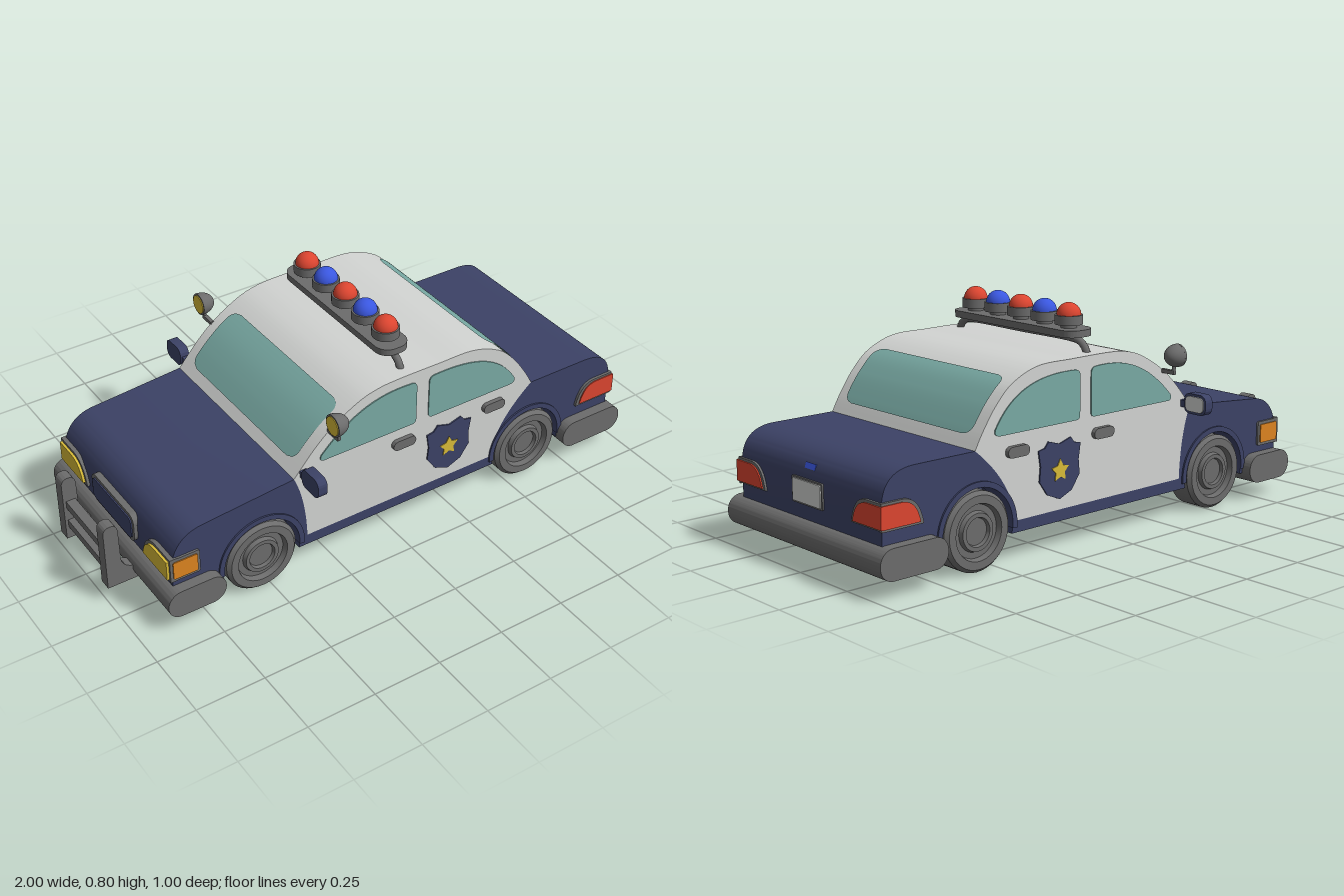
import * as THREE from 'three';
import { toCreasedNormals } from 'three/addons/utils/BufferGeometryUtils.js';

const mat = (name, color, extra = {}) => {
  const m = new THREE.MeshStandardMaterial({ color, ...extra });
  m.name = name;
  return m;
};

export function createModel() {
  const car = new THREE.Group();
  car.name = 'patrolCar';
  const navy = mat('navy', 0x3c4266), white = mat('white', 0xd2d4d2), grey = mat('grey', 0x6c6c6c);
  const glass = mat('glass', 0x79aaa4, { side: THREE.DoubleSide });
  const red = mat('red', 0xdc4530), blue = mat('blue', 0x3a57e0);
  const orange = mat('orange', 0xdd8420), yellow = mat('yellow', 0xd8bb38);

  const add = (name, geo, m, x = 0, y = 0, z = 0) => {
    const mesh = new THREE.Mesh(geo, m);
    mesh.name = name;
    mesh.position.set(x, y, z);
    car.add(mesh);
    return mesh;
  };
  // side-on shape (x, y) pulled from z0 to z1
  const across = (shape, z0, z1) => toCreasedNormals(
    new THREE.ExtrudeGeometry(shape, { depth: z1 - z0, bevelEnabled: false, curveSegments: 20 }).translate(0, 0, z0), 0.6);
  // end-on shape (-z, y) pulled from x0 to x1
  const along = (shape, x0, x1) => across(shape, x0, x1).rotateY(Math.PI / 2);
  const onSides = (name, shape, m, z0, z1) => {
    add(name, across(shape, z0, z1), m);
    add(name, across(shape, -z1, -z0), m);
  };
  const box = (w, h, d) => new THREE.BoxGeometry(w, h, d);
  const roundRect = (cx, cy, w, h, r) => {
    const s = new THREE.Shape(), H = Math.PI / 2, x = w / 2 - r, y = h / 2 - r;
    s.absarc(cx + x, cy + y, r, 0, H);
    s.absarc(cx - x, cy + y, r, H, 2 * H);
    s.absarc(cx - x, cy - y, r, 2 * H, 3 * H);
    s.absarc(cx + x, cy - y, r, 3 * H, 4 * H);
    return s;
  };
  const poly = pts => new THREE.Shape(pts.map(p => new THREE.Vector2(p[0], p[1])));

  // Roof line, shared by the cabin and the two screens
  const roof = new THREE.SplineCurve([[-0.4, 0.4], [-0.32, 0.49], [-0.245, 0.555], [-0.15, 0.61], [-0.075, 0.633],
    [0.01, 0.64], [0.17, 0.64], [0.32, 0.637], [0.43, 0.597], [0.5, 0.535], [0.555, 0.46], [0.59, 0.4]]
    .map(p => new THREE.Vector2(...p))).getPoints(160);
  const W = 0.38, axles = [-0.53, 0.583], axleY = 0.135;

  // Navy lower body with wheel openings
  const body = new THREE.Shape();
  body.moveTo(-0.85, 0.1);
  for (const x of axles) {
    const a = Math.asin(0.035 / 0.15);
    body.lineTo(x - 0.15 * Math.cos(a), 0.1);
    body.absarc(x, axleY, 0.15, Math.PI + a, -a, true);
  }
  body.lineTo(0.96, 0.1);
  body.lineTo(0.96, 0.29);
  body.quadraticCurveTo(0.955, 0.4, 0.83, 0.4);
  body.lineTo(0.59, 0.4);
  body.quadraticCurveTo(0.44, 0.28, 0.42, 0.14);
  body.lineTo(-0.35, 0.14);
  body.quadraticCurveTo(-0.355, 0.3, -0.4, 0.4);
  body.lineTo(-0.75, 0.37);
  body.quadraticCurveTo(-0.845, 0.36, -0.865, 0.26);
  body.lineTo(-0.865, 0.13);
  add('lowerBody', across(body, -W, W), navy);

  // White cabin and doors
  const cabin = new THREE.Shape();
  cabin.moveTo(0.59, 0.4);
  cabin.quadraticCurveTo(0.44, 0.28, 0.42, 0.14);
  cabin.lineTo(-0.35, 0.14);
  cabin.quadraticCurveTo(-0.355, 0.3, -0.4, 0.4);
  roof.slice(1, -1).forEach(p => cabin.lineTo(p.x, p.y));
  add('cabin', across(cabin, -W, W), white);

  // Wheels, arches and the floor between the wheels
  const tyre = [[0, -0.055], [0.122, -0.055], [0.134, -0.042], [0.134, 0.042], [0.122, 0.055], [0.095, 0.055],
    [0.089, 0.035], [0.068, 0.035], [0.063, 0.05], [0.049, 0.05], [0.045, 0.038], [0, 0.038]].map(p => new THREE.Vector2(...p));
  for (const x of axles) {
    add('wheelWell', box(0.32, 0.19, 0.55), navy, x, 0.196, 0);
    const arch = new THREE.Shape();
    arch.absarc(x, axleY, 0.165, -0.1, Math.PI + 0.1);
    arch.absarc(x, axleY, 0.146, Math.PI + 0.1, -0.1, true);
    onSides('wheelArch', arch, navy, 0.3, 0.386);
    for (const s of [1, -1]) {
      const g = toCreasedNormals(new THREE.LatheGeometry(tyre, 40), 0.5).rotateX(s * Math.PI / 2);
      add('wheel', g, grey, x, axleY, s * 0.334);
    }
  }

  // Bumpers and push bar
  add('frontBumper', across(roundRect(-0.797, 0.115, 0.215, 0.104, 0.05), -0.419, 0.419), grey);
  add('rearBumper', across(roundRect(0.865, 0.115, 0.265, 0.104, 0.05), -0.419, 0.419), grey);
  const post = new THREE.Shape();
  post.moveTo(-0.8, 0.067);
  post.lineTo(-1, 0.067);
  post.lineTo(-1, 0.3);
  post.quadraticCurveTo(-0.995, 0.32, -0.975, 0.32);
  post.quadraticCurveTo(-0.95, 0.32, -0.947, 0.29);
  post.lineTo(-0.945, 0.17);
  post.quadraticCurveTo(-0.94, 0.12, -0.86, 0.115);
  post.lineTo(-0.8, 0.115);
  onSides('pushBarPost', post, grey, 0.128, 0.174);
  for (const y of [0.13, 0.21]) add('pushBarRail', box(0.035, 0.03, 0.27), grey, -0.972, y, 0);

  // Side windows
  const win = new THREE.Shape();
  win.moveTo(-0.285, 0.432);
  win.lineTo(0.07, 0.432);
  win.quadraticCurveTo(0.087, 0.432, 0.087, 0.45);
  win.lineTo(0.087, 0.58);
  win.quadraticCurveTo(0.087, 0.6, 0.065, 0.602);
  win.bezierCurveTo(-0.06, 0.61, -0.17, 0.585, -0.295, 0.455);
  win.quadraticCurveTo(-0.305, 0.435, -0.285, 0.432);
  onSides('frontSideWindow', win, glass, W, 0.384);
  const win2 = new THREE.Shape();
  win2.moveTo(0.49, 0.432);
  win2.lineTo(0.155, 0.432);
  win2.quadraticCurveTo(0.138, 0.432, 0.138, 0.45);
  win2.lineTo(0.138, 0.58);
  win2.quadraticCurveTo(0.138, 0.6, 0.16, 0.602);
  win2.bezierCurveTo(0.3, 0.608, 0.43, 0.585, 0.508, 0.455);
  win2.quadraticCurveTo(0.515, 0.435, 0.49, 0.432);
  onSides('rearSideWindow', win2, glass, W, 0.384);

  // Windscreen and rear screen follow the roof line, with rounded corners
  const screen = (name, x0, x1) => {
    const p = roof.filter(q => q.x >= x0 && q.x <= x1), len = [0], pos = [], idx = [], r = 0.04;
    for (let i = 1; i < p.length; i++) len.push(len[i - 1] + p[i].distanceTo(p[i - 1]));
    p.forEach((q, i) => {
      const t = p[Math.min(i + 1, p.length - 1)].clone().sub(p[Math.max(i - 1, 0)]).normalize();
      const d = Math.min(len[i], len[p.length - 1] - len[i], r);
      const w = 0.335 - r + Math.sqrt(r * r - (r - d) ** 2);
      const x = q.x - t.y * 0.004, y = q.y + t.x * 0.004;
      pos.push(x, y, w, x, y, -w);
      const k = i * 2;
      if (i < p.length - 1) idx.push(k, k + 2, k + 1, k + 1, k + 2, k + 3);
    });
    const g = new THREE.BufferGeometry();
    g.setAttribute('position', new THREE.Float32BufferAttribute(pos, 3));
    g.setIndex(idx);
    g.computeVertexNormals();
    add(name, g, glass);
  };
  screen('windscreen', -0.375, -0.18);
  screen('rearScreen', 0.41, 0.57);

  // Door handles
  for (const x of [0.035, 0.418]) onSides('doorHandle', roundRect(x, 0.373, 0.092, 0.037, 0.018), grey, W, 0.396);

  // Door shields with stars
  const shield = [[0, 0.085], [0.05, 0.1], [0.066, 0.08], [0.094, 0.075], [0.085, 0.02], [0.09, -0.03], [0.055, -0.08], [0, -0.103]];
  const outline = [...shield, ...shield.slice(1, -1).reverse().map(([x, y]) => [-x, y])].map(([x, y]) => [x + 0.23, y + 0.28]);
  onSides('doorShield', poly(outline), navy, W, 0.385);
  const star = Array.from({ length: 10 }, (_, i) => {
    const r = i % 2 ? 0.021 : 0.04, a = Math.PI / 2 + i * Math.PI / 5;
    return [0.23 + r * Math.cos(a), 0.275 + r * Math.sin(a)];
  });
  onSides('doorStar', poly(star), yellow, 0.385, 0.388);

  // Lamps: a is the swept end, b the square end
  const lamp = (a, b, y0, y1) => {
    const s = new THREE.Shape(), w = b - a;
    s.moveTo(b, y0);
    s.lineTo(a, y0);
    s.quadraticCurveTo(a + w * 0.1, y1, a + w * 0.5, y1);
    s.lineTo(b, y1);
    return s;
  };
  onSides('tailLampSideFrame', lamp(0.805, 0.968, 0.212, 0.303), grey, W, 0.39);
  onSides('tailLampSide', lamp(0.82, 0.968, 0.22, 0.295), red, 0.39, 0.394);
  onSides('turnSignalFrame', roundRect(-0.82, 0.236, 0.11, 0.09, 0.008), grey, W, 0.388);
  onSides('turnSignal', roundRect(-0.82, 0.236, 0.09, 0.068, 0.006), orange, 0.388, 0.392);
  for (const s of [1, -1]) {
    add('tailLampFrame', along(lamp(s * 0.235, s * 0.39, 0.215, 0.302), 0.955, 0.968), grey);
    add('tailLamp', along(lamp(s * 0.248, s * 0.394, 0.221, 0.293), 0.968, 0.973), red);
    add('headLampFrame', along(lamp(s * 0.2, s * 0.388, 0.19, 0.283), -0.875, -0.85), grey);
    add('headLamp', along(lamp(s * 0.215, s * 0.38, 0.2, 0.273), -0.884, -0.875), yellow);
  }

  // Grille, rear plate and boot badge
  add('grilleFrame', along(roundRect(0, 0.24, 0.3, 0.11, 0.03), -0.878, -0.85), grey);
  add('grille', along(roundRect(0, 0.24, 0.275, 0.085, 0.02), -0.883, -0.878), navy);
  add('plateFrame', along(roundRect(0, 0.258, 0.165, 0.087, 0.005), 0.955, 0.966), grey);
  add('plate', along(roundRect(0, 0.258, 0.152, 0.075, 0.004), 0.966, 0.97), white);
  add('bootBadge', box(0.012, 0.02, 0.055), blue, 0.944, 0.34, 0).rotation.z = 0.35;

  // Mirrors and spotlights
  for (const s of [1, -1]) {
    add('mirrorArm', box(0.025, 0.025, 0.05), navy, -0.365, 0.413, s * 0.395);
    add('mirror', along(roundRect(s * 0.45, 0.42, 0.1, 0.072, 0.025), -0.383, -0.348), navy);
    add('mirrorGlass', along(roundRect(s * 0.45, 0.42, 0.082, 0.054, 0.018), -0.348, -0.344), white);
    add('spotBracket', box(0.014, 0.014, 0.06), grey, -0.26, 0.542, s * 0.405);
    add('spotStem', new THREE.CylinderGeometry(0.007, 0.007, 0.04, 12), grey, -0.26, 0.555, s * 0.43);
    const dome = new THREE.SphereGeometry(0.04, 28, 12, 0, Math.PI * 2, 0, Math.PI / 2);
    add('spotShell', dome.scale(1, 1.35, 1).rotateZ(-Math.PI / 2), grey, -0.278, 0.6, s * 0.43);
    add('spotRim', new THREE.CylinderGeometry(0.04, 0.04, 0.008, 28).rotateZ(Math.PI / 2), grey, -0.278, 0.6, s * 0.43);
    add('spotLens', new THREE.CylinderGeometry(0.034, 0.034, 0.004, 28).rotateZ(Math.PI / 2), yellow, -0.283, 0.6, s * 0.43);
  }

  // Roof light bar
  const barX = 0.055;
  const hoop = new THREE.CatmullRomCurve3([[0.33, 0.63], [0.318, 0.655], [0.29, 0.674], [0.25, 0.679], [0, 0.679],
    [-0.25, 0.679], [-0.29, 0.674], [-0.318, 0.655], [-0.33, 0.63]].map(([z, y]) => new THREE.Vector3(barX, y, z)));
  add('lightBarHoop', new THREE.TubeGeometry(hoop, 48, 0.013, 10), grey);
  const rail = roundRect(0, 0, 0.12, 0.63, 0.05);
  add('lightBarRail', across(rail, 0, 0.024).rotateX(-Math.PI / 2), grey, barX, 0.688, 0);
  for (let i = -2; i <= 2; i++) {
    const z = i * 0.12;
    add('beaconNeck', new THREE.CylinderGeometry(0.028, 0.028, 0.02, 24), grey, barX, 0.718, z);
    add('beaconBase', new THREE.CylinderGeometry(0.048, 0.048, 0.032, 32), grey, barX, 0.74, z);
    add('beacon', new THREE.SphereGeometry(0.042, 28, 12, 0, Math.PI * 2, 0, Math.PI / 2), i % 2 ? blue : red, barX, 0.755, z);
  }
  return car;
}
